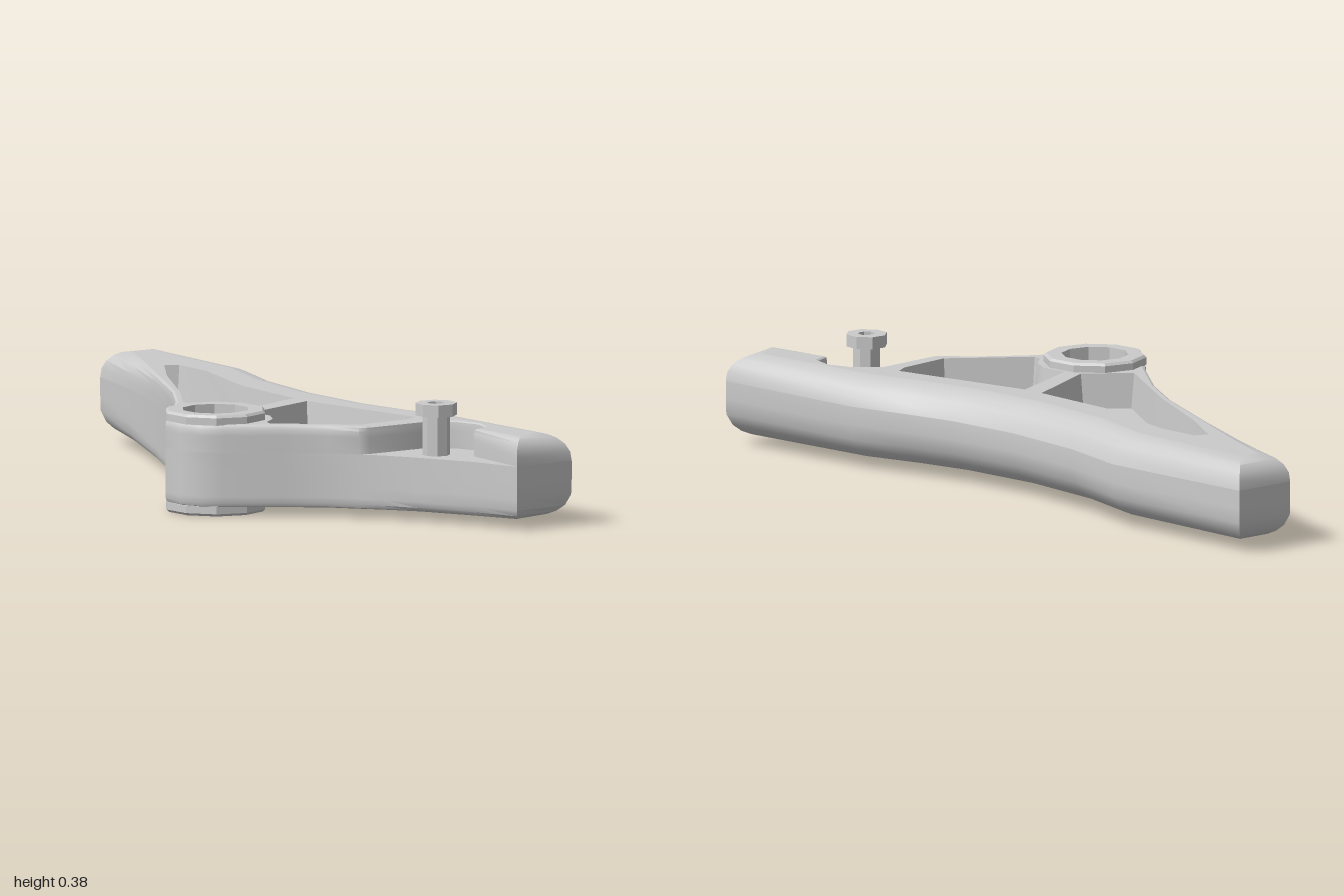
import * as THREE from 'three';
import { toCreasedNormals } from 'three/addons/utils/BufferGeometryUtils.js';

const BOTTOM = 0.03, TOP = 0.30, LEDGE = 0.21;
const MID = (BOTTOM + TOP) / 2, HALF = (TOP - BOTTOM) / 2;

// Outlines run clockwise seen from above: [x, z, edge radius]
const backEdge = [
  [-0.86, -0.87, 0.085], [-0.40, -0.50, 0.11], [-0.24, -0.28, 0.12], [-0.02, -0.05, 0.12],
  [0.20, 0.12, 0.12], [0.36, 0.21, 0.12], [0.55, 0.31, 0.11], [1.0, 0.67, 0.085], [0.87, 0.855, 0.05],
];
const frontEdge = [[0.70, 0.79, 0.03], [0.50, 0.75, 0.03], [0.38, 0.735, 0.02]];
const notchEdge = [
  [0.67, 0.67, 0.008], [0.69, 0.61, 0.008], [0.645, 0.545, 0.008],
  [0.57, 0.515, 0.008], [0.47, 0.53, 0.008], [0.33, 0.715, 0.008],
];
const hubSide = [
  [0.30, 0.733, 0.015], [0.20, 0.735, 0.015], [0.05, 0.768, 0.015], [-0.13, 0.827, 0.015],
  [-0.205, 0.84, 0.015], [-0.28, 0.82, 0.015], [-0.345, 0.765, 0.015], [-0.37, 0.68, 0.015],
  [-0.38, 0.60, 0.012], [-0.44, 0.34, 0.01], [-0.515, 0.13, 0.01], [-0.665, -0.18, 0.015],
  [-0.84, -0.47, 0.05], [-1.005, -0.70, 0.085],
];
const pockets = {
  longPocket: [
    [-0.705, -0.42], [-0.66, -0.44], [-0.54, -0.34], [-0.33, -0.05], [-0.09, 0.17],
    [-0.18, 0.49], [-0.35, 0.525], [-0.41, 0.35], [-0.488, 0.13], [-0.63, -0.20],
  ],
  shortPocket: [
    [-0.03, 0.22], [0.41, 0.465], [0.40, 0.52], [0.29, 0.68], [0.0, 0.74],
    [-0.02, 0.71], [-0.02, 0.64], [-0.05, 0.57], [-0.125, 0.515],
  ],
};
const hub = [-0.205, 0.67];

// Moves each corner inward along its mitre by amount(point)
function inset(points, amount) {
  const n = points.length;
  const normal = (a, b) => new THREE.Vector2(a[1] - b[1], b[0] - a[0]).normalize();
  return points.map((p, i) => {
    const n1 = normal(points[(i + n - 1) % n], p);
    const n2 = normal(p, points[(i + 1) % n]);
    const s = amount(p) / Math.max(0.4, 1 + n1.dot(n2));
    return [p[0] + (n1.x + n2.x) * s, p[1] + (n1.y + n2.y) * s];
  });
}

// Body outline at a height, drawn in where the edge is rounded
function section(points, y) {
  return inset(points, ([, , r]) => {
    const d = Math.max(0, Math.abs(y - MID) - (HALF - r));
    return r - Math.sqrt(Math.max(0, r * r - d * d));
  });
}

// Wall through [points, y] rings; upward faces out, downward faces in
function loft(rings) {
  const n = rings[0][0].length, position = [], index = [];
  rings.forEach(([points, y]) => points.forEach(([x, z]) => position.push(x, y, z)));
  for (let j = 0; j < rings.length - 1; j++) {
    for (let i = 0; i < n; i++) {
      const a = j * n + i, b = j * n + (i + 1) % n;
      index.push(a, a + n, b + n, a, b + n, b);
    }
  }
  const g = new THREE.BufferGeometry();
  g.setAttribute('position', new THREE.Float32BufferAttribute(position, 3));
  g.setIndex(index);
  return toCreasedNormals(g, 0.65);
}

// Flat face at a height, with holes, facing up or down
function cap(points, y, up, holes = []) {
  const flat = (list) => list.map(([x, z]) => new THREE.Vector2(x, -z));
  const shape = new THREE.Shape(flat(points));
  holes.forEach((h) => shape.holes.push(new THREE.Path(flat(h))));
  const g = new THREE.ShapeGeometry(shape).rotateX(-Math.PI / 2).translate(0, y, 0);
  if (!up) g.index.array.reverse();
  g.computeVertexNormals();
  return g;
}

function lathe(profile, sides, x, z) {
  const points = profile.map(([r, y]) => new THREE.Vector2(r, y));
  return new THREE.LatheGeometry(points, sides).rotateY(Math.PI / sides).translate(x, 0, z);
}

export function createModel() {
  const model = new THREE.Group();
  const smooth = new THREE.MeshStandardMaterial({ color: 0xcccccc });
  const faceted = new THREE.MeshStandardMaterial({ color: 0xcccccc, flatShading: true });
  const add = (name, geometry, material = smooth) => {
    const mesh = new THREE.Mesh(geometry, material);
    mesh.name = name;
    model.add(mesh);
  };

  // Arm body: full outline below the ledge, notched outline above it
  const lower = [...backEdge, ...frontEdge, ...hubSide];
  const upper = [...backEdge, ...notchEdge, ...hubSide];
  const rings = (points, heights) => heights.map((y) => [section(points, y), y]);
  add('lowerBodyWall', loft(rings(lower, [BOTTOM, 0.034, 0.045, 0.065, 0.10, 0.15, LEDGE])));
  add('upperBodyWall', loft(rings(upper, [LEDGE, 0.24, 0.265, 0.285, 0.296, TOP])));
  add('notchLedge', cap([backEdge[8], ...frontEdge, hubSide[0], ...[...notchEdge].reverse()], LEDGE, true));

  // Top and bottom faces, open over the pockets and the hub
  const bore = Array.from({ length: 10 }, (_, i) => {
    const a = i * Math.PI / 5;
    return [hub[0] + 0.13 * Math.cos(a), hub[1] + 0.13 * Math.sin(a)];
  });
  const openings = [...Object.values(pockets), bore];
  add('topFace', cap(section(upper, TOP), TOP, true, openings));
  add('bottomFace', cap(section(lower, BOTTOM), BOTTOM, false, openings));

  // Tapered pockets either side of a thin central web
  for (const [name, points] of Object.entries(pockets)) {
    const floor = inset(points, () => 0.012);
    add(name + 'TopWall', loft([[points, TOP], [floor, 0.185]]));
    add(name + 'TopFloor', cap(floor, 0.185, true));
    add(name + 'BottomWall', loft([[floor, 0.145], [points, BOTTOM]]));
    add(name + 'BottomFloor', cap(floor, 0.145, false));
  }

  // Pivot bushing with a flange above and below
  add('pivotBushing', lathe([
    [0.11, 0], [0.16, 0], [0.168, 0.008], [0.168, 0.032], [0.152, 0.032], [0.152, 0.298],
    [0.168, 0.298], [0.168, 0.322], [0.16, 0.33], [0.11, 0.33], [0.11, 0],
  ], 10, ...hub), faceted);

  // Headed pin standing on the ledge
  add('pin', lathe([
    [0.045, 0.20], [0.045, 0.34], [0.068, 0.34], [0.068, 0.38],
    [0.028, 0.38], [0.028, 0.355], [0, 0.355],
  ], 8, 0.54, 0.665), faceted);

  return model;
}
